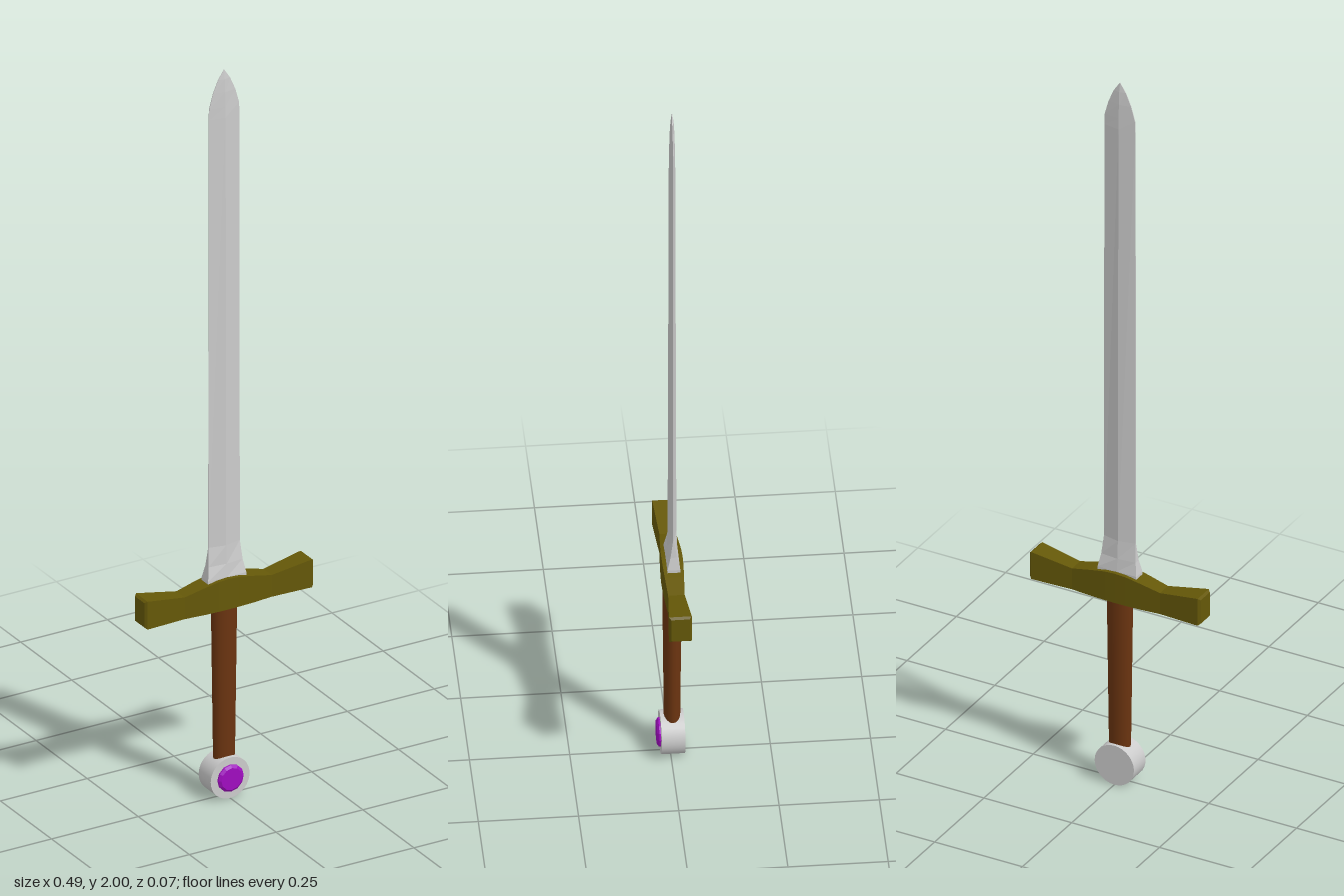
import * as THREE from 'three';

// Skins a row of rings (equal point counts, counter-clockwise seen from the far end) and caps both ends.
function loft(rings) {
  const pos = [];
  const tri = (a, b, c) => pos.push(...a, ...b, ...c);
  const n = rings[0].length;
  for (let i = 0; i < rings.length - 1; i++) {
    for (let j = 0; j < n; j++) {
      const k = (j + 1) % n, a = rings[i], b = rings[i + 1];
      tri(a[j], a[k], b[k]);
      tri(a[j], b[k], b[j]);
    }
  }
  const first = rings[0], last = rings[rings.length - 1];
  for (let j = 1; j < n - 1; j++) {
    tri(first[0], first[j + 1], first[j]);
    tri(last[0], last[j], last[j + 1]);
  }
  const geo = new THREE.BufferGeometry();
  geo.setAttribute('position', new THREE.Float32BufferAttribute(pos, 3));
  geo.computeVertexNormals();
  return geo;
}

export function createModel() {
  const group = new THREE.Group();
  const add = (name, geo, color, flatShading = false) => {
    const mesh = new THREE.Mesh(geo, new THREE.MeshStandardMaterial({ color, flatShading }));
    mesh.name = name;
    mesh.position.z = -0.005;
    group.add(mesh);
    return mesh;
  };

  // Blade: rectangular root flowing into a ridged diamond; [y, half width, edge half depth, ridge half depth]
  const blade = [
    [0.56, 0.055, 0.016, 0.016], [0.605, 0.055, 0.016, 0.016],
    [0.64, 0.049, 0.008, 0.013], [0.69, 0.045, 0.001, 0.011],
    [1.87, 0.044, 0.001, 0.008], [1.9, 0.043, 0.001, 0.007],
    [1.94, 0.032, 0.001, 0.006], [1.975, 0.017, 0.0008, 0.004], [2, 0.0005, 0.0005, 0.0005],
  ].map(([y, w, e, t]) => [[0, y, t], [w, y, e], [w, y, -e], [0, y, -t], [-w, y, -e], [-w, y, e]]);
  add('blade', loft(blade), 0xcccccc, true);

  // Crossguard: waisted bar with bevelled ends; [x, bottom, top, half depth]
  const half = [
    [0.03, 0.52, 0.602, 0.026], [0.07, 0.52, 0.594, 0.024], [0.125, 0.521, 0.581, 0.0205],
    [0.237, 0.523, 0.6, 0.0285], [0.243, 0.528, 0.595, 0.023],
  ];
  const mirrored = half.map(([x, ...rest]) => [-x, ...rest]).reverse();
  const guard = [...mirrored, [0, 0.52, 0.604, 0.0265], ...half]
    .map(([x, b, t, d]) => [[x, t, -d], [x, t, d], [x, b, d], [x, b, -d]]);
  add('crossguard', loft(guard), 0x655808, true);

  // Grip: oval, slightly tapering to the pommel
  const grip = add('grip', new THREE.CylinderGeometry(0.035, 0.029, 0.45, 16), 0x6b3410);
  grip.scale.z = 0.7;
  grip.position.y = 0.305;

  // Pommel: disc facing front and back
  const disc = new THREE.CylinderGeometry(0.056, 0.056, 0.059, 32).rotateX(Math.PI / 2);
  add('pommel', disc, 0xcccccc).position.set(0, 0.056, -0.0045);

  // Gem: bevelled twelve-sided stone set in the pommel's front
  const profile = [[0, 0], [0.037, 0], [0.037, 0.009], [0.03, 0.014], [0, 0.014]]
    .map(([r, y]) => new THREE.Vector2(r, y));
  const gem = new THREE.LatheGeometry(profile, 12).rotateX(Math.PI / 2);
  add('gem', gem, 0xa00cc0, true).position.set(0, 0.056, 0.02);

  return group;
}
